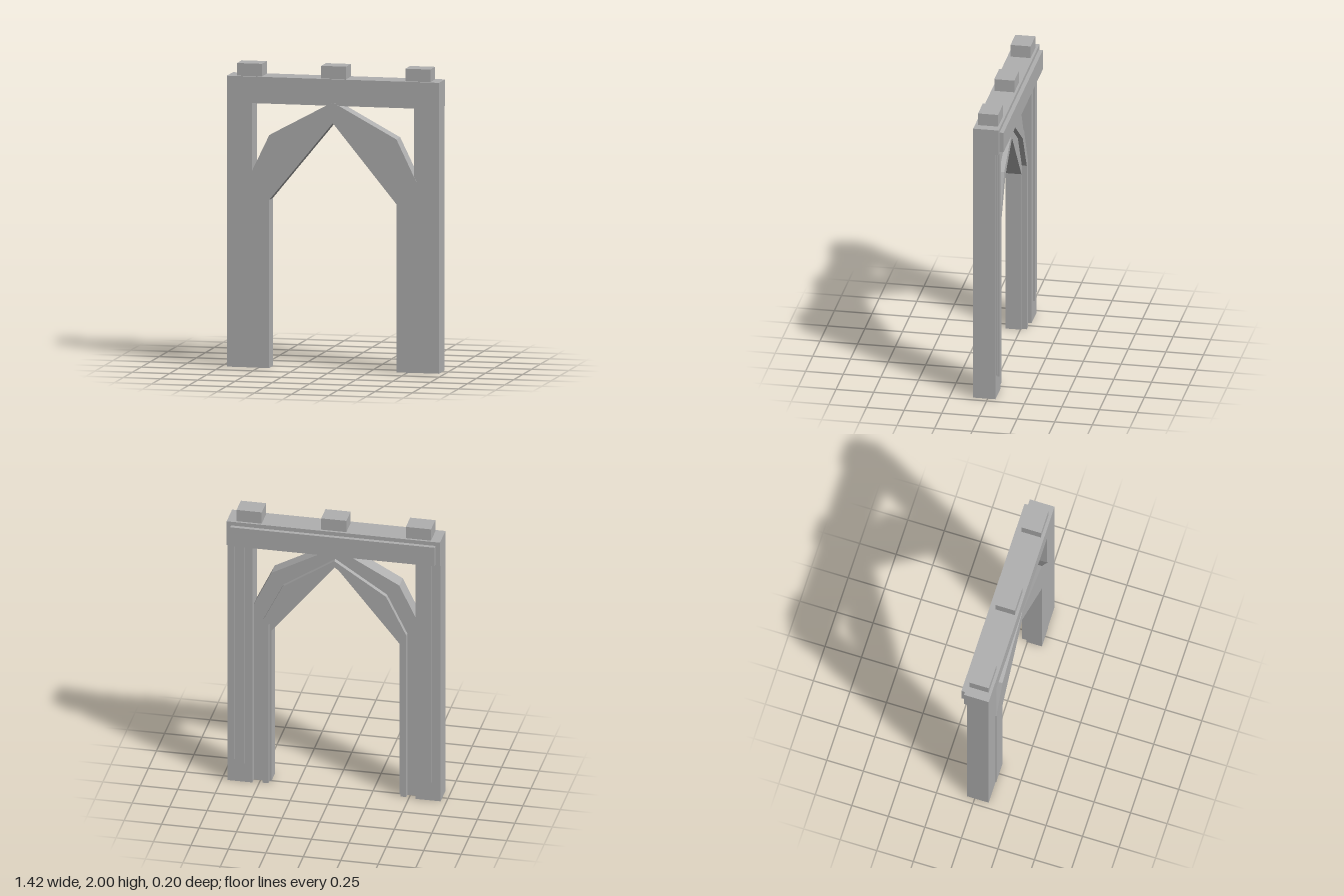
import * as THREE from 'three';

const stone = new THREE.MeshStandardMaterial({ color: 0xb0b0b0 });
stone.name = 'grey stone';

export function createModel() {
  const group = new THREE.Group();
  group.name = 'archway';

  const add = (name, geometry) => {
    const mesh = new THREE.Mesh(geometry, stone);
    mesh.name = name;
    group.add(mesh);
  };

  // Box given by its limits on each axis
  const box = (name, x0, x1, y0, y1, z0, z1) => {
    const g = new THREE.BoxGeometry(x1 - x0, y1 - y0, z1 - z0);
    g.translate((x0 + x1) / 2, (y0 + y1) / 2, (z0 + z1) / 2);
    add(name, g);
  };

  // Symmetric arch band: each profile runs from the left foot up to the apex on x = 0
  const arch = (name, outer, inner, z0, z1) => {
    const full = (half) => [...half, ...half.slice(0, -1).reverse().map(([x, y]) => [-x, y])];
    const points = [...full(outer), ...full(inner).reverse()];
    const shape = new THREE.Shape(points.map(([x, y]) => new THREE.Vector2(x, y)));
    const g = new THREE.ExtrudeGeometry(shape, { depth: z1 - z0, bevelEnabled: false });
    g.translate(0, 0, z0);
    add(name, g);
  };

  // Arch with straight pointed opening and faceted shoulders
  arch('arch',
    [[0.56, 0], [0.56, 1.26], [0.427, 1.535], [0, 1.765]],
    [[0.427, 0], [0.427, 1.108], [0, 1.628]],
    -0.007, 0.1);

  // Raised moulding on the back of the arch
  arch('archMoulding',
    [[0.48, 0], [0.48, 1.19], [0.345, 1.46], [0, 1.685]],
    [[0.44, 0], [0.44, 1.165], [0.3, 1.42], [0, 1.64]],
    -0.04, -0.007);

  // Posts with two strips on the back
  for (const s of [1, -1]) {
    const side = s > 0 ? 'left' : 'right';
    const span = (a, b) => (s > 0 ? [a, b] : [-b, -a]);
    box(side + 'Post', ...span(0.545, 0.712), 0, 1.75, -0.052, 0.096);
    box(side + 'WideStrip', ...span(0.595, 0.65), 0.135, 1.745, -0.066, -0.052);
    box(side + 'NarrowStrip', ...span(0.662, 0.692), 0.162, 1.745, -0.06, -0.052);
  }

  // Lintel with a fascia board on the back
  box('lintel', -0.712, 0.712, 1.742, 1.917, -0.073, 0.096);
  box('fascia', -0.682, 0.682, 1.752, 1.89, -0.1, -0.073);

  // Blocks along the top
  for (const x of [-0.565, 0, 0.565]) box('topBlock', x - 0.084, x + 0.084, 1.917, 2, -0.057, 0.076);

  return group;
}
